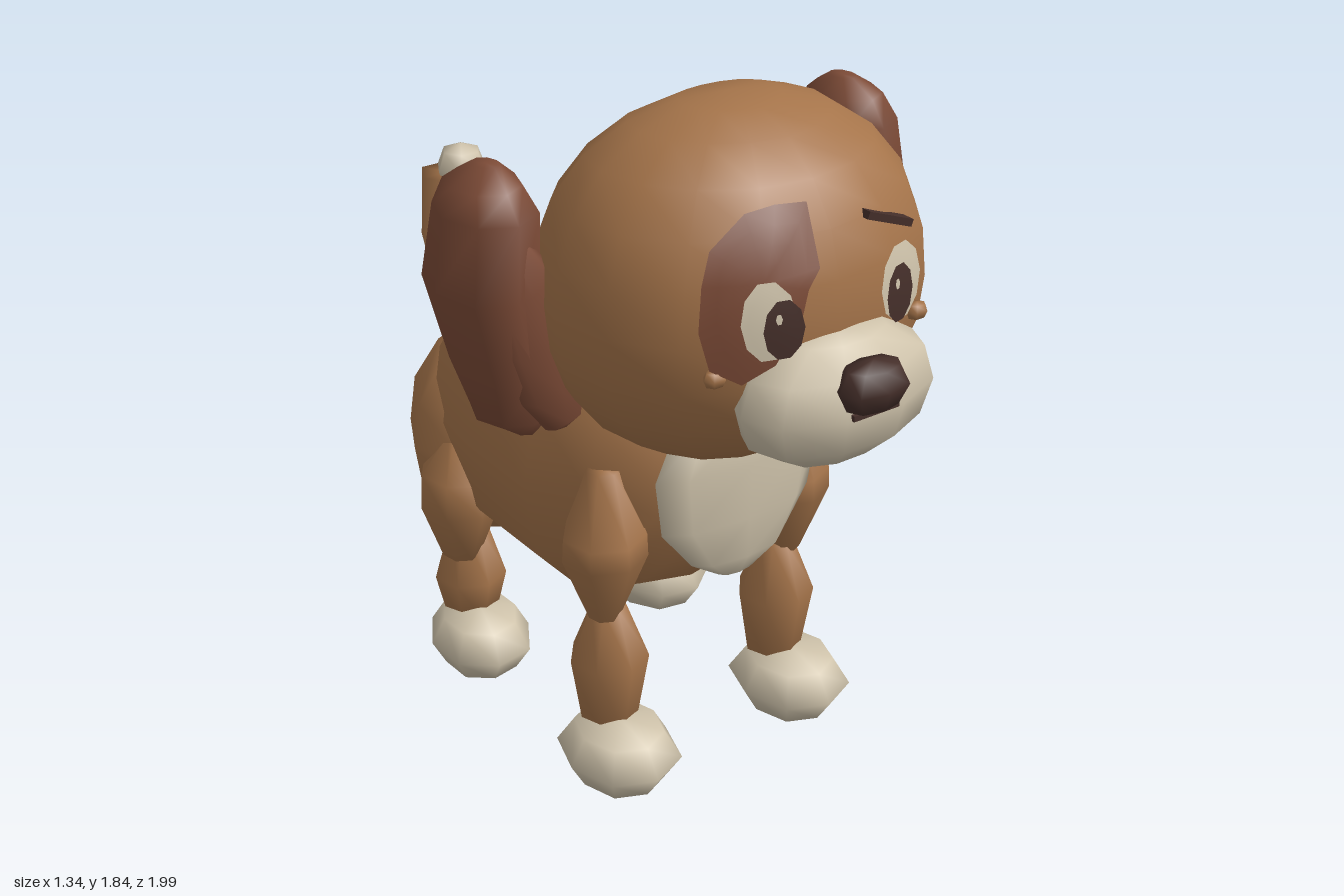
import * as THREE from 'three';
import { mergeVertices } from 'three/addons/utils/BufferGeometryUtils.js';

const material = (name, color, side = THREE.FrontSide) => {
  const m = new THREE.MeshStandardMaterial({ color, side });
  m.name = name;
  return m;
};

// Rounded-box ellipsoid with smooth normals; backX and backY narrow its rear half
function blob(rx, ry, rz, segs = 10, rows = 8, p = 2.4, backX = 0, backY = 0) {
  const g = new THREE.SphereGeometry(1, segs, rows);
  g.deleteAttribute('uv');
  g.deleteAttribute('normal');
  const pos = g.attributes.position;
  for (let i = 0; i < pos.count; i++) {
    const d = [pos.getX(i), pos.getY(i), pos.getZ(i)];
    const t = d.reduce((s, c) => s + Math.abs(c) ** p, 0) ** (-1 / p);
    const [x, y, z] = d.map((c) => c * t);
    const back = Math.min(z, 0) ** 2;
    pos.setXYZ(i, x * rx * (1 - backX * back), y * ry * (1 - backY * back), z * rz);
  }
  const merged = mergeVertices(g, 1e-4);
  merged.computeVertexNormals();
  return merged;
}

// Closed skin over rings [y, centreX, centreZ, radiusX, radiusZ], listed upwards; p above 2 squares the rings
function loft(rings, n = 8, p = 2) {
  const pts = [], idx = [];
  rings.forEach(([y, cx, cz, rx, rz], i) => {
    for (let j = 0; j < n; j++) {
      const a = (j / n) * Math.PI * 2, c = Math.cos(a), s = Math.sin(a);
      const t = (Math.abs(c) ** p + Math.abs(s) ** p) ** (-1 / p);
      pts.push(cx + c * t * rx, y, cz + s * t * rz);
      if (i < rings.length - 1) {
        const k = (j + 1) % n, lo = i * n, hi = lo + n;
        idx.push(lo + j, hi + j, lo + k, hi + j, hi + k, lo + k);
      }
    }
  });
  const last = (rings.length - 1) * n, c = rings.length * n;
  for (const r of [rings[0], rings[rings.length - 1]]) pts.push(r[1], r[0], r[2]);
  for (let j = 0; j < n; j++) {
    const k = (j + 1) % n;
    idx.push(c, j, k, c + 1, last + k, last + j);
  }
  const g = new THREE.BufferGeometry();
  g.setAttribute('position', new THREE.Float32BufferAttribute(pts, 3));
  g.setIndex(idx);
  g.computeVertexNormals();
  return g;
}

// Head ellipsoid, and the depth of its face at a point
const HEAD = { x: -0.015, y: 1.4, z: 0.42, rx: 0.48, ry: 0.435, rz: 0.41, p: 2.2 };
const faceZ = (x, y) => {
  const s = Math.abs((x - HEAD.x) / HEAD.rx) ** HEAD.p + Math.abs((y - HEAD.y) / HEAD.ry) ** HEAD.p;
  return HEAD.z + HEAD.rz * Math.max(0, 1 - s) ** (1 / HEAD.p);
};

// Thin plate following the face; outline runs anticlockwise around the centre
function facePlate(cx, cy, outline, lift) {
  const steps = 4, n = outline.length;
  const pts = [cx, cy, faceZ(cx, cy) + lift], idx = [];
  for (let s = 1; s <= steps; s++) {
    outline.forEach(([ox, oy], j) => {
      const x = cx + (ox - cx) * s / steps, y = cy + (oy - cy) * s / steps;
      pts.push(x, y, faceZ(x, y) + lift);
      const k = (j + 1) % n, b = 1 + (s - 1) * n, a = b - n;
      if (s === 1) idx.push(0, b + j, b + k);
      else idx.push(a + j, b + j, b + k, a + j, b + k, a + k);
    });
  }
  const g = new THREE.BufferGeometry();
  g.setAttribute('position', new THREE.Float32BufferAttribute(pts, 3));
  g.setIndex(idx);
  g.computeVertexNormals();
  return g;
}
const oval = (cx, cy, rx, ry, n = 10) => Array.from({ length: n }, (_, i) => {
  const a = (i / n) * Math.PI * 2;
  return [cx + Math.cos(a) * rx, cy + Math.sin(a) * ry];
});

// Leg segment turned from [radius, y] pairs
const legPart = (profile) => new THREE.LatheGeometry(
  [[0, profile[0][1]], ...profile, [0, profile[profile.length - 1][1]]].map(([r, y]) => new THREE.Vector2(r, y)), 7);

export function createModel() {
  const fur = material('tan fur', 0xa5744a);
  const brown = material('dark brown fur', 0x7b4a36, THREE.DoubleSide);
  const cream = material('cream fur', 0xcfc3ab, THREE.DoubleSide);
  const dark = material('near black', 0x452f2a, THREE.DoubleSide);

  const model = new THREE.Group();
  model.name = 'puppy';
  const add = (name, geometry, mat, x = 0, y = 0, z = 0) => {
    const m = new THREE.Mesh(geometry, mat);
    m.name = name;
    m.position.set(x, y, z);
    model.add(m);
    return m;
  };

  // Torso, lofted back to front
  const torso = loft([
    [-0.57, -0.03, -0.8, 0.14, 0.12], [-0.52, -0.03, -0.75, 0.23, 0.24], [-0.42, -0.03, -0.75, 0.31, 0.37],
    [-0.2, -0.02, -0.76, 0.35, 0.4], [0.1, -0.015, -0.785, 0.37, 0.415], [0.3, -0.01, -0.835, 0.315, 0.345],
    [0.4, 0, -0.875, 0.21, 0.2], [0.425, 0, -0.88, 0.13, 0.13],
  ], 12, 2.35).rotateX(Math.PI / 2);
  add('torso', torso, fur);
  add('rump', blob(0.37, 0.32, 0.25, 10, 8, 2.3, 0.15), fur, -0.025, 0.655, -0.43);
  add('chestBib', loft([
    [0.59, 0, 0.465, 0.05, 0.02], [0.65, 0, 0.47, 0.14, 0.045], [0.77, -0.01, 0.475, 0.225, 0.055],
    [0.92, -0.005, 0.475, 0.25, 0.055], [1.04, 0.01, 0.465, 0.2, 0.05],
  ], 8), cream);

  // Tail
  add('tail', loft([
    [0.73, -0.045, -0.7, 0.01, 0.01], [0.8, -0.045, -0.73, 0.035, 0.07], [0.87, -0.035, -0.757, 0.045, 0.135],
    [0.95, -0.015, -0.86, 0.062, 0.072], [1.04, 0, -0.906, 0.075, 0.07], [1.2, 0.02, -0.912, 0.075, 0.087],
  ], 6), fur);
  add('tailTip', blob(0.075, 0.073, 0.075, 6, 4, 2.2), cream, 0.062, 1.21, -0.9);

  // Head and muzzle
  add('head', blob(HEAD.rx, HEAD.ry, HEAD.rz, 16, 12, HEAD.p, 0.15, 0.33), fur, HEAD.x, HEAD.y, HEAD.z);
  add('muzzle', blob(0.26, 0.162, 0.155, 10, 6, 2.3), cream, -0.005, 1.24, 0.8);
  add('nose', blob(0.095, 0.063, 0.06, 8, 4, 2.3), dark, -0.017, 1.313, 0.945);
  add('mouth', new THREE.BoxGeometry(0.13, 0.014, 0.025), dark, -0.01, 1.25, 0.945);
  add('eyePatch', facePlate(-0.21, 1.55, [
    [-0.065, 1.69], [-0.14, 1.695], [-0.21, 1.685], [-0.3, 1.62], [-0.33, 1.55], [-0.345, 1.45],
    [-0.325, 1.36], [-0.26, 1.32], [-0.19, 1.36], [-0.13, 1.46], [-0.11, 1.52], [-0.075, 1.56],
  ], 0.016), brown);
  add('brow', new THREE.BoxGeometry(0.14, 0.018, 0.035), dark, 0.155, 1.605, faceZ(0.155, 1.605)).rotation.z = -0.36;

  // Eyes, with pupils set towards the nose
  for (const [ex, px, rx] of [[0.167, 0.15, 0.077], [-0.208, -0.18, 0.062]]) {
    add('eyeWhite', facePlate(ex, 1.465, oval(ex, 1.465, rx, 0.092), 0.022), cream);
    add('pupil', facePlate(px, 1.447, oval(px, 1.447, 0.048, 0.07), 0.029), dark);
    add('eyeGlint', facePlate(px - 0.015, 1.475, oval(px - 0.015, 1.475, 0.008, 0.013, 6), 0.033), cream);
  }

  for (const s of [1, -1]) {
    // Drooping ear, and the front fold that leans in towards the cheek
    add('ear', loft([
      [1.01, s * 0.445, 0.19, 0.035, 0.05], [1.07, s * 0.475, 0.195, 0.095, 0.1], [1.2, s * 0.5, 0.2, 0.115, 0.145],
      [1.42, s * 0.55, 0.2, 0.122, 0.165], [1.6, s * 0.53, 0.2, 0.115, 0.14], [1.66, s * 0.53, 0.19, 0.085, 0.105],
      [1.7, s * 0.52, 0.19, 0.03, 0.04],
    ], 8), brown);
    add('earFold', blob(0.1, 0.26, 0.045, 8, 6), brown, s * 0.47, 1.3, 0.315).rotation.z = -s * 0.28;
    add('cheekSpot', blob(0.03, 0.022, 0.022, 6, 4), fur, s * 0.295 - 0.01, 1.335, faceZ(s * 0.295 - 0.01, 1.335));

    // Front leg
    add('frontUpperLeg', legPart([[0.04, 0.48], [0.11, 0.66], [0.107, 0.72], [0.045, 0.9]]), fur, s * 0.29, 0, 0.31);
    add('frontLowerLeg', legPart([[0.07, 0.14], [0.103, 0.35], [0.045, 0.5]]), fur, s * 0.27, 0, 0.3);
    add('frontPaw', blob(0.148, 0.097, 0.172, 8, 4, 2.2), cream, s * 0.28, 0.097, 0.36);

    // Hind leg
    add('hindUpperLeg', legPart([[0.05, 0.35], [0.105, 0.51], [0.1, 0.61], [0.02, 0.72]]), fur, s * 0.32, 0, -0.335)
      .scale.z = 1.15;
    add('hindLowerLeg', legPart([[0.07, 0.14], [0.1, 0.27], [0.05, 0.43]]), fur, s * 0.285, 0, -0.35);
    add('hindPaw', blob(0.14, 0.097, 0.172, 8, 4, 2.2), cream, s * 0.295, 0.097, -0.29).rotation.y = s * 0.25;
  }
  return model;
}
